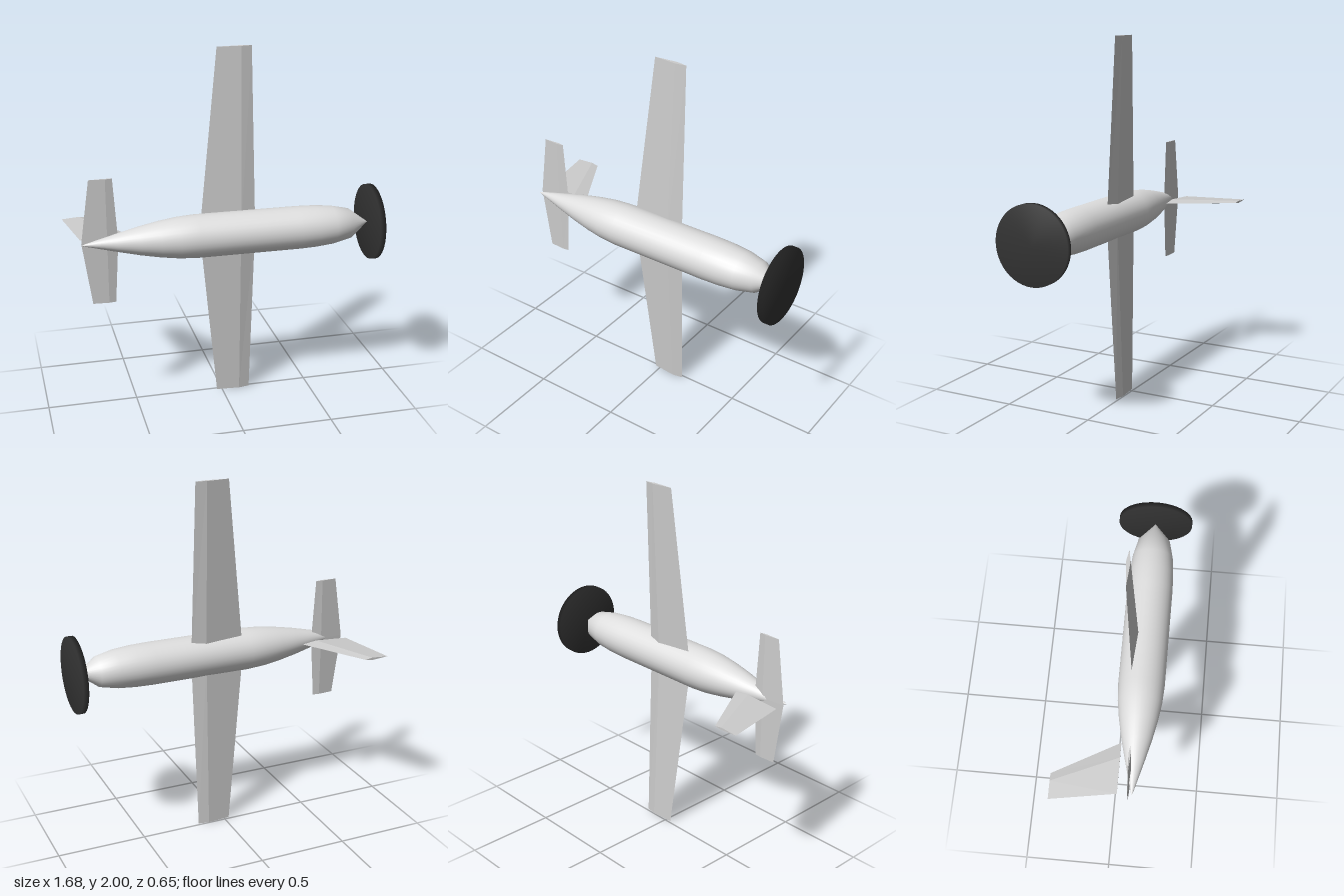
import * as THREE from 'three';
import { mergeVertices } from 'three/addons/utils/BufferGeometryUtils.js';

const CENTRE_Y = 1;
const CENTRE_Z = 0.114;

// Loft four-cornered sections into a closed, flat-shaded panel.
// Corners run trailing edge, upper ridge, leading edge, lower ridge.
function loft(sections) {
  const index = [];
  const last = (sections.length - 1) * 4;
  for (let s = 0; s < last; s += 4) {
    for (let i = 0; i < 4; i++) {
      const a = s + i, b = s + (i + 1) % 4;
      index.push(a, b, b + 4, a, b + 4, a + 4);
    }
  }
  index.push(0, 2, 1, 0, 3, 2, last, last + 1, last + 2, last, last + 2, last + 3);
  const indexed = new THREE.BufferGeometry();
  indexed.setAttribute('position', new THREE.Float32BufferAttribute(sections.flat(2), 3));
  indexed.setIndex(index);
  const geometry = indexed.toNonIndexed();
  geometry.computeVertexNormals();
  return geometry;
}

// Section of a wing spanning along y
const wingSection = (y, z, trail, ridge, lead, half) => [
  [trail, y, z], [ridge, y, z + half], [lead, y, z], [ridge, y, z - half],
];

// Section of the fin spanning along -z
const finSection = (z, trail, ridge, lead, half) => [
  [trail, CENTRE_Y, z], [ridge, CENTRE_Y + half, z], [lead, CENTRE_Y, z], [ridge, CENTRE_Y - half, z],
];

export function createModel() {
  const model = new THREE.Group();
  model.name = 'aircraft';
  const bodyPaint = new THREE.MeshStandardMaterial({ color: 0xdedede });
  bodyPaint.name = 'light grey';
  const wingPaint = new THREE.MeshStandardMaterial({ color: 0xcccccc });
  wingPaint.name = 'wing grey';
  const darkPaint = new THREE.MeshStandardMaterial({ color: 0x333333 });
  darkPaint.name = 'dark grey';

  const add = (name, geometry, material) => {
    const mesh = new THREE.Mesh(geometry, material);
    mesh.name = name;
    model.add(mesh);
    return mesh;
  };

  // Fuselage: lathed profile of radius and x, laid along x
  const profile = [
    [0, -0.785], [0.006, -0.77], [0.048, -0.6], [0.076, -0.48], [0.097, -0.37],
    [0.111, -0.27], [0.117, -0.17], [0.117, 0.4], [0.114, 0.5], [0.105, 0.6],
    [0.083, 0.7], [0, 0.81],
  ].map(([r, x]) => new THREE.Vector2(r, x));
  const body = new THREE.LatheGeometry(profile, 32);
  body.rotateZ(-Math.PI / 2);
  body.scale(1, 1, 1.09);
  add('fuselage', body, bodyPaint).position.set(0, CENTRE_Y, CENTRE_Z);

  // Main wing, swept toward the fin at both tips
  add('wing', loft([
    wingSection(0, 0.014, -0.03, 0.1, 0.16, 0.011),
    wingSection(1, 0.06, -0.137, 0.092, 0.176, 0.019),
    wingSection(2, 0.014, -0.03, 0.1, 0.16, 0.011),
  ]), wingPaint);

  // Tailplane
  add('tailplane', loft([
    wingSection(0.65, 0.09, -0.735, -0.648, -0.61, 0.006),
    wingSection(1, 0.09, -0.785, -0.648, -0.588, 0.01),
    wingSection(1.35, 0.09, -0.735, -0.648, -0.61, 0.006),
  ]), wingPaint);

  // Fin
  add('fin', loft([
    finSection(0.035, -0.785, -0.59, -0.505, 0.012),
    finSection(-0.325, -0.845, -0.747, -0.705, 0.007),
  ]), wingPaint);

  // Propeller disc with softly blended rim normals
  const cylinder = new THREE.CylinderGeometry(0.21, 0.21, 0.03, 48);
  cylinder.deleteAttribute('normal');
  cylinder.deleteAttribute('uv');
  const disc = mergeVertices(cylinder);
  disc.computeVertexNormals();
  disc.rotateZ(-Math.PI / 2);
  add('propellerDisc', disc, darkPaint).position.set(0.825, CENTRE_Y, CENTRE_Z);

  return model;
}
